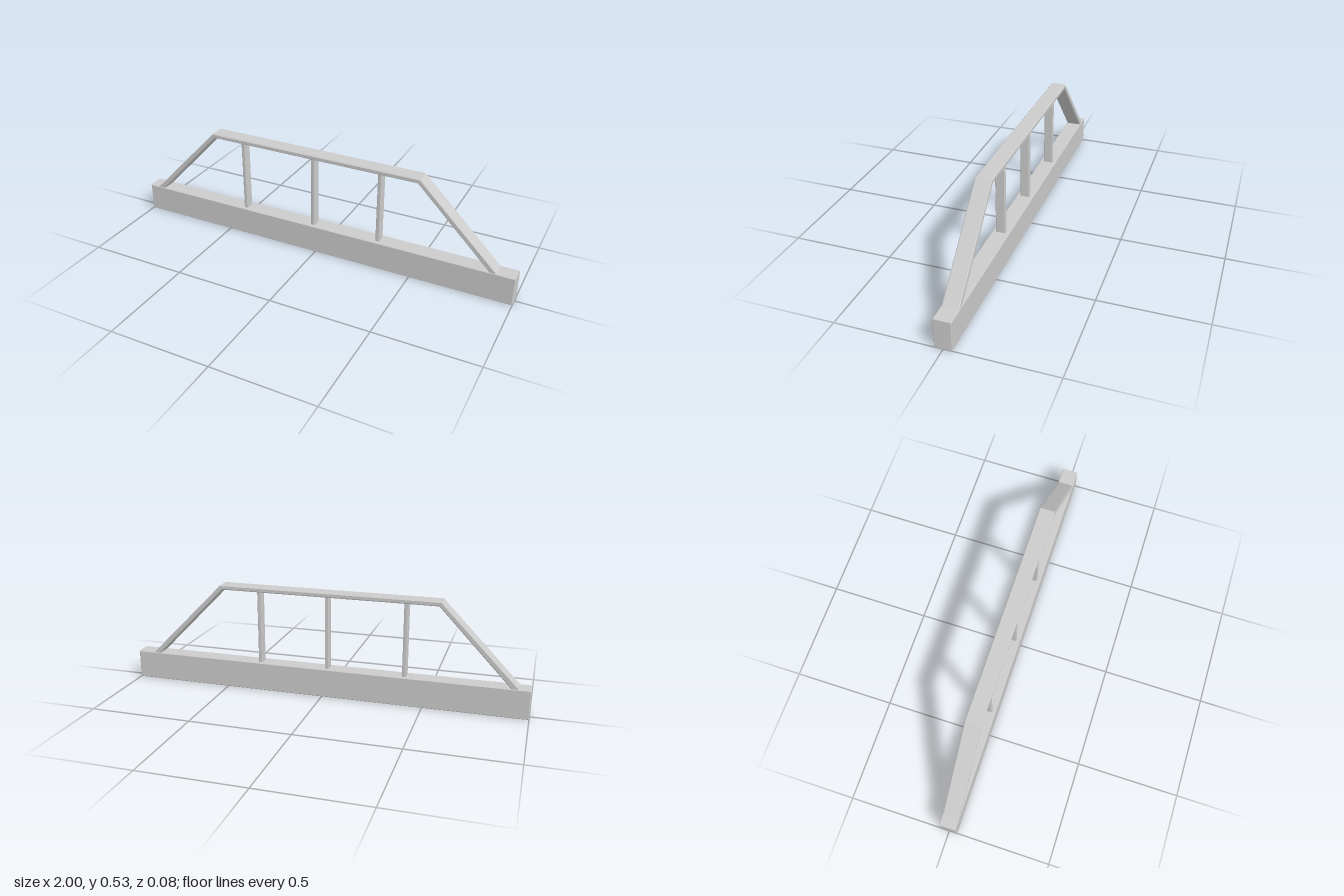
import * as THREE from 'three';

const material = new THREE.MeshStandardMaterial({ color: 0xcccccc, flatShading: true });

// Extrudes a front outline to a depth centred on z = 0, with chamfered edges
function slab(name, points, depth, bevel) {
  const shape = new THREE.Shape(points.map(([x, y]) => new THREE.Vector2(x, y)));
  const geometry = new THREE.ExtrudeGeometry(shape, {
    depth: depth - 2 * bevel,
    bevelEnabled: true,
    bevelThickness: bevel,
    bevelSize: bevel,
    bevelOffset: -bevel,
    bevelSegments: 1,
  });
  geometry.translate(0, 0, bevel - depth / 2);
  const mesh = new THREE.Mesh(geometry, material);
  mesh.name = name;
  return mesh;
}

const rect = (x0, y0, x1, y1) => [[x0, y0], [x1, y0], [x1, y1], [x0, y1]];

export function createModel() {
  const model = new THREE.Group();
  model.name = 'railing';

  // Solid base beam
  model.add(slab('baseBeam', rect(-1, 0, 1, 0.143), 0.082, 0.003));

  // Handrail: sloped ends and a flat top in one band, feet sunk into the beam
  model.add(slab('handrail', [
    [-0.951, 0.139], [-0.913, 0.139], [-0.562, 0.508], [0.513, 0.508],
    [0.881, 0.139], [0.917, 0.139], [0.524, 0.53], [-0.572, 0.53],
  ], 0.077, 0.004));

  // Upright posts between beam and handrail
  const posts = new THREE.Group();
  posts.name = 'posts';
  for (const x of [-0.407, -0.021, 0.325]) {
    posts.add(slab('post', rect(x - 0.01, 0.138, x + 0.01, 0.513), 0.046, 0.003));
  }
  model.add(posts);

  return model;
}
